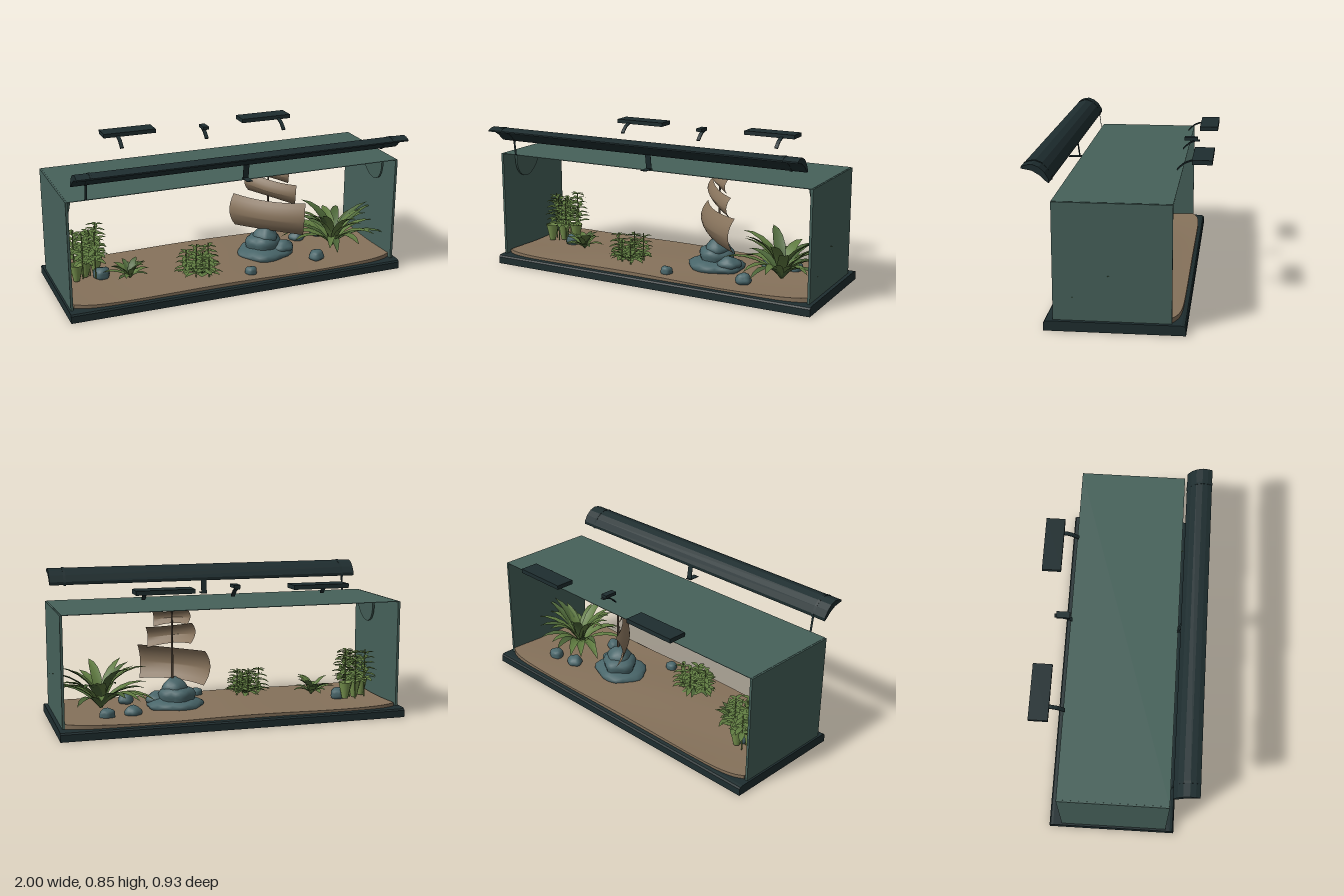
import * as THREE from 'three';
import { mergeGeometries, mergeVertices } from 'three/addons/utils/BufferGeometryUtils.js';

const mat = (name, color, double = false) => {
  const m = new THREE.MeshStandardMaterial({ color });
  m.name = name;
  if (double) m.side = THREE.DoubleSide;
  return m;
};

export function createModel() {
  const root = new THREE.Group();
  root.name = 'aquarium';
  const M = {
    frame: mat('dark frame', 0x1e2d2f),
    panel: mat('tinted panel', 0x46615a, true),
    sand: mat('sand', 0x86725b),
    sail: mat('sail cloth', 0x86725b, true),
    mast: mat('mast wood', 0x4d4236),
    rock: mat('rock', 0x49666a),
    leaf: mat('leaf green', 0x5f7b40, true),
    leafDark: mat('deep leaf green', 0x4c6638, true),
    stem: mat('pale stem green', 0x7a9650, true),
  };
  let seed = 7;
  const rnd = (a = 0, b = 1) => {
    seed = (seed * 16807) % 2147483647;
    return a + (b - a) * (seed / 2147483647);
  };
  const add = (name, geo, material, x = 0, y = 0, z = 0, parent = root) => {
    const m = new THREE.Mesh(geo, material);
    m.name = name;
    m.position.set(x, y, z);
    parent.add(m);
    return m;
  };
  const box = (name, w, h, d, material, x, y, z) => add(name, new THREE.BoxGeometry(w, h, d), material, x, y, z);
  // Side profile of [z, y] points, extruded along x
  const profile = (name, pts, width, material, x) => {
    const shape = new THREE.Shape(pts.map(p => new THREE.Vector2(...p)));
    const g = new THREE.ExtrudeGeometry(shape, { depth: width, bevelEnabled: false });
    g.rotateY(-Math.PI / 2).translate(width / 2, 0, 0);
    return add(name, g, material, x);
  };
  // Strip of even thickness following [z, y] points
  const strip = (name, pts, t, width, material, x) =>
    profile(name, [...pts, ...pts.map(([z, y]) => [z - t * 0.5, y - t]).reverse()], width, material, x);

  // Base tray with eased top edges
  profile('base', [[-0.362, 0], [0.362, 0], [0.362, 0.04], [0.355, 0.049], [0.34, 0.053],
    [-0.34, 0.053], [-0.355, 0.049], [-0.362, 0.04]], 2, M.frame, 0);

  // Sand bed with gentle mounds and rounded corners
  const sandTop = (x, z) => 0.071 + 0.006 * Math.sin(x * 5 + 2) + 0.005 * Math.cos(z * 9 + x * 3);
  const sand = new THREE.BoxGeometry(1.93, 0.03, 0.67, 48, 1, 18);
  const sp = sand.attributes.position;
  for (let i = 0; i < sp.count; i++) {
    const x = sp.getX(i), z = sp.getZ(i) * (1 - 0.14 * Math.abs(x / 0.965) ** 14);
    sp.setZ(i, z);
    sp.setY(i, sp.getY(i) > 0 ? sandTop(x, z) : 0.051);
  }
  sand.computeVertexNormals();
  add('sandBed', sand, M.sand);

  // End panels and lid
  box('leftPanel', 0.014, 0.62, 0.605, M.panel, 0.972, 0.36, 0.0125);
  box('rightPanel', 0.014, 0.62, 0.605, M.panel, -0.982, 0.36, 0.0125);
  box('lid', 1.95, 0.003, 0.605, M.panel, -0.005, 0.67, 0.0125);
  // Curved brackets hanging inside the end panels
  for (const s of [-1, 1]) {
    const g = new THREE.CylinderGeometry(0.12, 0.12, 0.012, 20, 1, false, 0, Math.PI);
    g.rotateZ(-Math.PI / 2).scale(1, 1.35, 1);
    const b = add('bracket', g, M.panel, s < 0 ? -0.945 : 0.928, 0.663, 0.11);
    b.rotation.z = s * 0.12;
  }

  // Lamp hood with bands and stands
  const hood = [[0.465, 0.836], [0.44, 0.846], [0.41, 0.85], [0.375, 0.837], [0.347, 0.812], [0.325, 0.775],
    [0.326, 0.757], [0.345, 0.77], [0.37, 0.795], [0.41, 0.818], [0.465, 0.828]];
  profile('lampHood', hood, 1.91, M.frame, -0.005);
  for (const x of [-0.88, 0.86]) {
    profile('hoodBand', hood.map(([z, y]) => [0.395 + (z - 0.395) * 1.02, 0.815 + (y - 0.815) * 1.08]), 0.014, M.frame, x);
  }
  strip('hoodLeg', [[0.333, 0.775], [0.32, 0.675]], 0.005, 0.012, M.frame, -0.88);
  strip('hoodStand', [[0.333, 0.775], [0.32, 0.685]], 0.005, 0.034, M.frame, 0.02);
  box('standFoot', 0.034, 0.004, 0.07, M.frame, 0.02, 0.68, 0.345);

  // Rear units with curved hooks
  const hook = [[-0.37, 0.792], [-0.345, 0.79], [-0.315, 0.778], [-0.293, 0.76], [-0.275, 0.742]];
  for (const [x, hx] of [[-0.43, -0.505], [0.443, 0.523]]) {
    box('rearUnit', 0.318, 0.024, 0.107, M.frame, x, 0.796, -0.411);
    strip('rearHook', hook, 0.006, 0.022, M.frame, hx);
  }
  box('rearClip', 0.036, 0.018, 0.075, M.frame, 0.02, 0.799, -0.323);
  strip('rearClipHook', hook, 0.006, 0.022, M.frame, 0.02);

  // Lumpy stones
  const stone = (name, x, y, z, rx, ry, rz) => {
    let g = new THREE.IcosahedronGeometry(1, 3);
    g.deleteAttribute('uv');
    g.deleteAttribute('normal');
    g = mergeVertices(g);
    const p = g.attributes.position, k = rnd(0, 6), v = new THREE.Vector3();
    for (let i = 0; i < p.count; i++) {
      v.fromBufferAttribute(p, i);
      v.multiplyScalar(1 + 0.1 * Math.sin(v.x * 4 + k) * Math.cos(v.z * 4 - k) + 0.06 * Math.sin(v.y * 5 + k));
      p.setXYZ(i, v.x * rx, v.y * ry, v.z * rz);
    }
    g.computeVertexNormals();
    add(name, g, M.rock, x, y, z);
  };
  stone('rockMound', 0.29, 0.075, 0, 0.165, 0.06, 0.14);
  stone('rockMound', 0.28, 0.13, -0.01, 0.105, 0.07, 0.1);
  stone('rockMound', 0.29, 0.18, 0, 0.07, 0.06, 0.07);
  stone('rockMound', 0.38, 0.11, 0.04, 0.07, 0.045, 0.06);
  for (const [x, z, r] of [[0.09, 0.25, 0.036], [0.54, 0.185, 0.046], [0.56, -0.13, 0.048],
    [0.71, -0.15, 0.045], [-0.72, -0.03, 0.05]]) stone('stone', x, 0.085, z, r, r * 0.75, r * 0.9);

  // Mast and three billowing sails, turned diagonally
  const ship = new THREE.Group();
  ship.name = 'shipRig';
  ship.position.set(0.3, 0, 0);
  ship.rotation.y = -Math.PI / 4;
  root.add(ship);
  add('mast', new THREE.CylinderGeometry(0.005, 0.008, 0.46, 8), M.mast, 0, 0.435, 0, ship);
  for (const [w, h, y, off, tilt, bulge] of [[0.5, 0.2, 0.315, 0.005, 0, 0.07],
    [0.34, 0.12, 0.485, 0.02, -0.05, 0.05], [0.26, 0.085, 0.585, 0.01, -0.03, 0.035]]) {
    const g = new THREE.PlaneGeometry(w, h, 14, 8), p = g.attributes.position;
    for (let i = 0; i < p.count; i++) {
      const u = p.getX(i) / w * 2, v = p.getY(i) / h * 2;
      p.setX(i, p.getX(i) * (0.95 - 0.06 * v * v + 0.02 * v));
      p.setY(i, p.getY(i) + tilt * u / 2 + (v < 0 ? 0.012 : 0.006) * (v < 0 ? 1 - u * u : u * u - 1));
      p.setZ(i, bulge * (1 - 0.5 * u * u - 0.6 * v * v));
    }
    g.computeVertexNormals();
    add('sail', g, M.sail, off, y, 0, ship);
  }

  // Arching folded leaf, growing outward from a point
  const leaf = (x, y, z, len, width, yaw, rise, droop) => {
    const n = 6, pos = [], idx = [];
    let r = 0, h = 0;
    for (let i = 0; i <= n; i++) {
      const t = i / n, w = width * 0.5 * Math.sin(Math.PI * Math.min(1, 0.08 + 0.92 * t)) ** 0.8;
      pos.push(r, h + w * 0.35, -w, r, h, 0, r, h + w * 0.35, w);
      const a = rise - droop * t;
      r += Math.cos(a) * len / n;
      h += Math.sin(a) * len / n;
      if (i < n) for (const k of [0, 1]) {
        const q = i * 3 + k;
        idx.push(q, q + 1, q + 3, q + 1, q + 4, q + 3);
      }
    }
    const g = new THREE.BufferGeometry();
    g.setAttribute('position', new THREE.Float32BufferAttribute(pos, 3));
    g.setIndex(idx);
    g.computeVertexNormals();
    return g.rotateY(yaw).translate(x, y, z);
  };
  // Rosette of leaves from one crown
  const rosette = (name, x, z, count, len, width, rise, droop, squash = 1) => {
    const sets = [[], []];
    for (let i = 0; i < count; i++) {
      const yaw = i * 2.4 + rnd(-0.2, 0.2);
      sets[i % 3 ? 0 : 1].push(leaf(0, 0, 0, len * rnd(0.75, 1.05), width * rnd(0.8, 1.1), yaw,
        rnd(rise[0], rise[1]), droop * rnd(0.8, 1.2)).scale(1, 1, squash));
    }
    sets.forEach((s, i) => add(name, mergeGeometries(s), i ? M.leafDark : M.leaf, x, 0.075, z));
  };
  rosette('broadLeafPlant', 0.71, 0.05, 28, 0.38, 0.062, [0.75, 1.4], 1.25, 0.85);
  rosette('smallBush', -0.58, 0.06, 20, 0.16, 0.04, [0.6, 1.35], 1.1);
  rosette('lowLeaves', -0.2, 0.17, 12, 0.14, 0.04, [0.3, 0.9], 0.9);

  // Upright stems carrying whorls of leaves
  const stemPlant = (name, x, z, stems, spread, top, start, len) => {
    const leaves = [], stalks = [];
    for (let i = 0; i < stems; i++) {
      const a = i * 2.4, d = spread * Math.sqrt((i + 0.3) / stems);
      const bx = Math.cos(a) * d, bz = Math.sin(a) * d, h = top * rnd(0.72, 1);
      stalks.push(new THREE.CylinderGeometry(0.003, 0.004, h, 5).translate(bx, h / 2, bz));
      for (let y = start; y <= h; y += 0.03) {
        const s = 1 - 0.4 * (y / top) ** 2, turn = rnd(0, 3);
        for (let k = 0; k < 4; k++) {
          leaves.push(leaf(bx, y, bz, len * s, len * 0.42 * s, turn + k * Math.PI / 2, rnd(0.1, 0.5), 0.7));
        }
      }
    }
    add(name, mergeGeometries(leaves), M.leaf, x, 0.07, z);
    add(name + 'Stalks', mergeGeometries(stalks), M.stem, x, 0.07, z);
  };
  stemPlant('tallStemPlant', -0.8, -0.06, 6, 0.085, 0.3, 0.11, 0.085);
  stemPlant('midStemPlant', -0.2, 0.17, 6, 0.09, 0.18, 0.03, 0.075);

  // Pale leaf sheaths around the tall plant's feet
  for (const [x, z] of [[-0.81, -0.06], [-0.74, -0.09], [-0.87, -0.02]]) {
    add('leafSheath', new THREE.CylinderGeometry(0.04, 0.018, 0.1, 10, 1, true), M.stem, x, 0.12, z);
  }
  return root;
}
